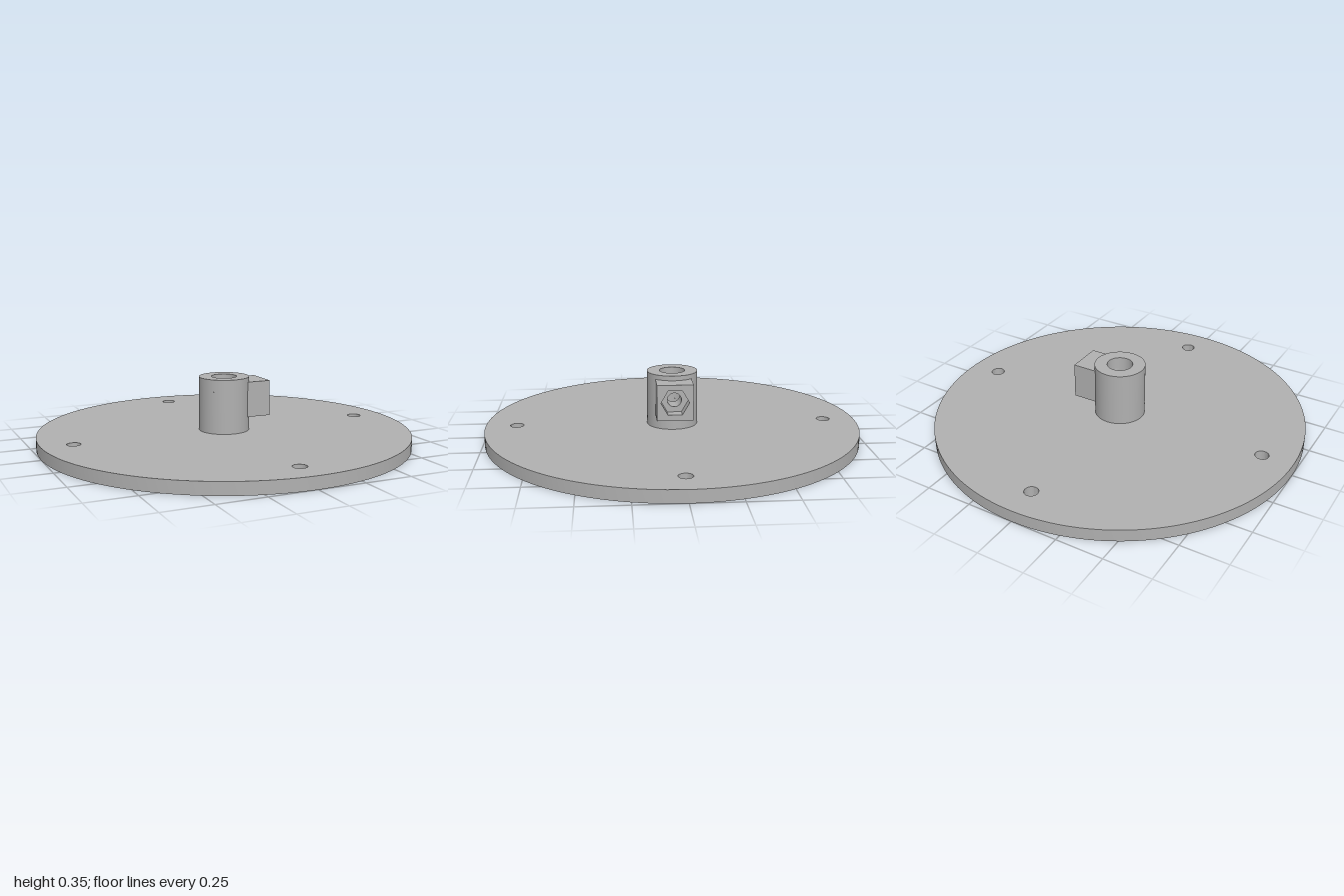
import * as THREE from 'three';
import { toCreasedNormals } from 'three/addons/utils/BufferGeometryUtils.js';

const TOP = 0.065;        // plate thickness
const HUB_R = 0.135, BORE_R = 0.068, HUB_TOP = 0.355;
const SCREW_Y = 0.235, SCREW_R = 0.037;
const GAP = 0.055;        // half size of the wall opening around the screw hole
const BLOCK = 0.095;      // half width of the nut block

function circle(x, y, r) {
  return new THREE.Path().absarc(x, y, r, 0, Math.PI * 2, true);
}

function extrude(shape, depth, curveSegments) {
  const g = new THREE.ExtrudeGeometry(shape, { depth, bevelEnabled: false, curveSegments });
  return toCreasedNormals(g, 0.6);
}

// Closed band between two loops of points
function band(a, b) {
  const n = a.length, index = [];
  for (let i = 0; i < n; i++) {
    const j = (i + 1) % n;
    index.push(i, j, n + i, j, n + j, n + i);
  }
  const g = new THREE.BufferGeometry().setFromPoints([...a, ...b]);
  g.setIndex(index);
  g.computeVertexNormals();
  return g;
}

export function createModel() {
  const grey = new THREE.MeshStandardMaterial({ color: 0xb0b0b0, side: THREE.DoubleSide });
  grey.name = 'grey';
  const model = new THREE.Group();
  model.name = 'mountingFlange';
  const add = (name, geometry, parent = model) => {
    const mesh = new THREE.Mesh(geometry, grey);
    mesh.name = name;
    parent.add(mesh);
    return mesh;
  };

  // Round plate with four bolt holes and a small centre hole
  const disc = new THREE.Shape().absarc(0, 0, 1, 0, Math.PI * 2, false);
  disc.holes.push(circle(0, 0, 0.026));
  for (const [x, y] of [[1, 0], [0, 1], [-1, 0], [0, -1]]) {
    disc.holes.push(circle(x * 0.833, y * 0.833, 0.036));
  }
  add('basePlate', extrude(disc, TOP, 64).rotateX(-Math.PI / 2));

  // Hub walls, leaving an opening on +x for the screw hole
  const hub = new THREE.Group();
  hub.name = 'hub';
  model.add(hub);
  for (const [name, r] of [['hubOuterWall', HUB_R], ['hubBore', BORE_R]]) {
    const gapAngle = Math.asin(GAP / r);
    const wall = (y0, y1, start, length) => {
      const g = new THREE.CylinderGeometry(r, r, y1 - y0, 72, 1, true, start, length);
      add(name, g.translate(0, (y0 + y1) / 2, 0), hub);
    };
    wall(TOP, SCREW_Y - GAP, 0, Math.PI * 2);
    wall(SCREW_Y - GAP, SCREW_Y + GAP, Math.PI / 2 + gapAngle, 2 * (Math.PI - gapAngle));
    wall(SCREW_Y + GAP, HUB_TOP, 0, Math.PI * 2);
  }
  const rim = new THREE.RingGeometry(BORE_R, HUB_R, 72).rotateX(-Math.PI / 2);
  add('hubRim', rim.translate(0, HUB_TOP, 0), hub);

  // Bore surface around the screw hole, and the screw hole itself
  const square = [], hole = [], tunnelEnd = [];
  const onBore = (y, z) => new THREE.Vector3(Math.sqrt(BORE_R ** 2 - z ** 2), SCREW_Y + y, z);
  for (let i = 0; i < 64; i++) {
    const t = i / 64 * Math.PI * 2, c = Math.cos(t), s = Math.sin(t);
    const k = GAP / Math.max(Math.abs(c), Math.abs(s));
    square.push(onBore(k * s, k * c));
    hole.push(onBore(SCREW_R * s, SCREW_R * c));
    tunnelEnd.push(new THREE.Vector3(0.1, SCREW_Y + SCREW_R * s, SCREW_R * c));
  }
  add('borePatch', band(square, hole), hub);
  add('screwHole', band(hole, tunnelEnd), hub);

  // Side block: round screw hole behind, hexagonal nut pocket in front
  const hexagon = new THREE.Path();
  hexagon.setFromPoints([0, 1, 2, 3, 4, 5, 6].map((i) => new THREE.Vector2(
    0.074 * Math.cos(i * Math.PI / 3), 0.074 * Math.sin(i * Math.PI / 3))));
  const nutBlock = new THREE.Group();
  nutBlock.name = 'nutBlock';
  model.add(nutBlock);
  for (const [name, cut, x0, x1] of [
    ['blockBack', circle(0, 0, SCREW_R), 0.095, 0.165],
    ['nutPocket', hexagon, 0.165, 0.227],
  ]) {
    const face = new THREE.Shape([[-1, -1], [1, -1], [1, 1], [-1, 1]].map(
      ([x, y]) => new THREE.Vector2(x * BLOCK, y * BLOCK)));
    face.holes.push(cut);
    add(name, extrude(face, x1 - x0, 32).rotateY(Math.PI / 2).translate(x0, SCREW_Y, 0), nutBlock);
  }
  return model;
}
